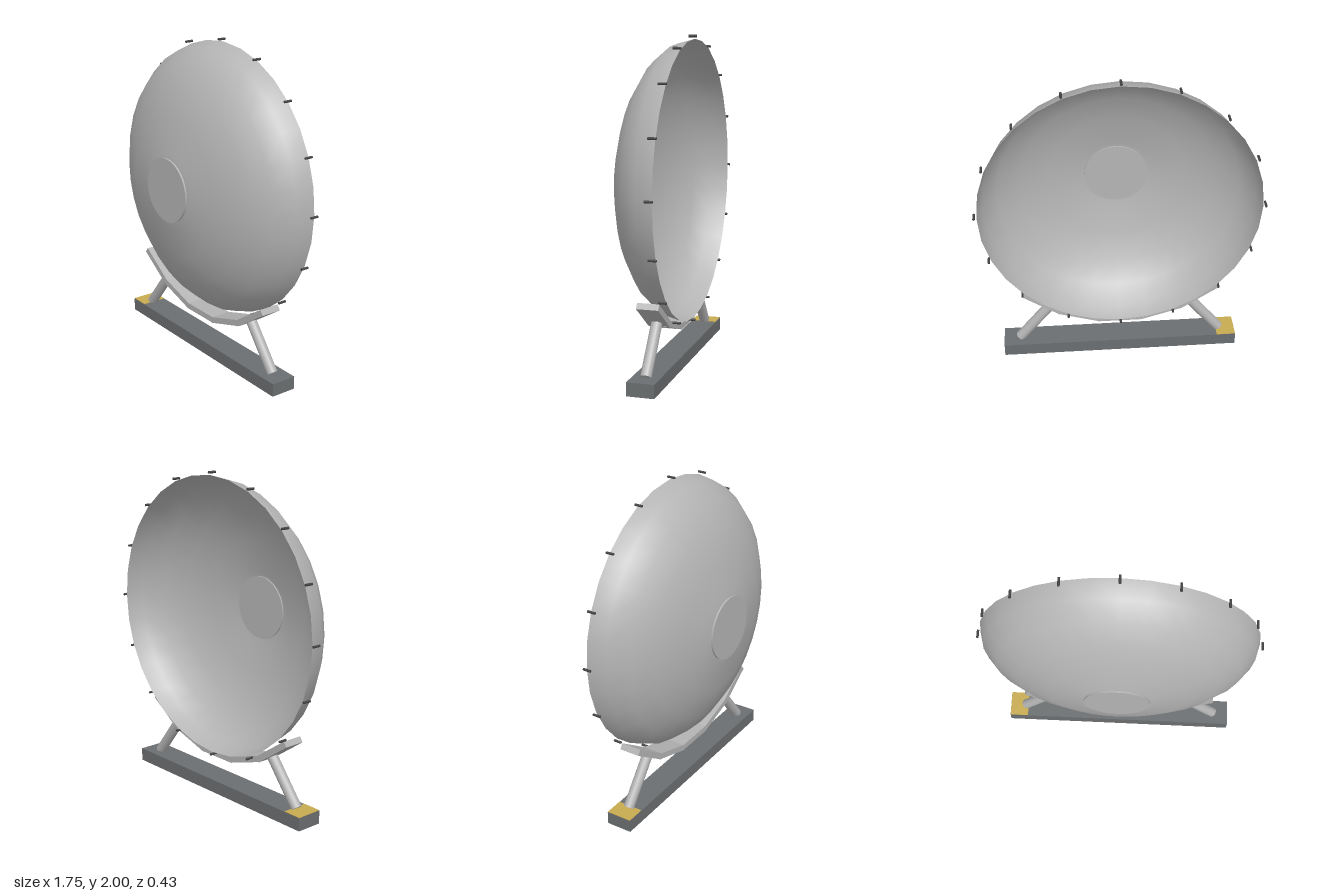
import * as THREE from 'three';

const CY = 1.128;      // height of the dish axis
const RIM_Z = -0.205;  // plane of the dish rim
const SUPPORT_Z = -0.103;

export function createModel() {
  const model = new THREE.Group();
  const paint = (name, color, side = THREE.FrontSide) => {
    const m = new THREE.MeshStandardMaterial({ color, side });
    m.name = name;
    return m;
  };
  const shell = paint('light grey shell', 0xb4b4b4, THREE.DoubleSide);
  const metal = paint('light grey metal', 0xb4b4b4);
  const baseGrey = paint('base grey', 0x6b6e70);
  const dark = paint('dark grey', 0x444444);
  const yellow = paint('label yellow', 0xc8ab52);

  const add = (name, geometry, material, x, y, z, parent = model) => {
    const mesh = new THREE.Mesh(geometry, material);
    mesh.name = name;
    mesh.position.set(x, y, z);
    parent.add(mesh);
    return mesh;
  };

  // Dish: an open half ellipsoid with its bulge facing forward
  const profile = [90, 75, 60, 45, 30, 15, 13.4].map((deg) => {
    const a = THREE.MathUtils.degToRad(deg);
    return new THREE.Vector2(0.85 * Math.sin(a), 0.4215 * Math.cos(a));
  });
  const dishGeometry = new THREE.LatheGeometry(profile, 32).rotateX(Math.PI / 2);
  add('dish', dishGeometry, shell, 0, CY, RIM_Z);

  // Flat disc closing the middle of the dish
  const hub = new THREE.CylinderGeometry(0.198, 0.198, 0.02, 32).rotateX(Math.PI / 2);
  add('centreDisc', hub, metal, 0, CY, 0.2065);

  // Pins around the rim
  const pins = new THREE.Group();
  pins.name = 'rimPins';
  model.add(pins);
  const pinGeometry = new THREE.CylinderGeometry(0.0075, 0.0075, 0.05, 8).rotateX(Math.PI / 2);
  for (let i = 0; i < 16; i++) {
    const a = (i / 16) * Math.PI * 2;
    add('rimPin', pinGeometry, dark, 0.866 * Math.sin(a), CY + 0.866 * Math.cos(a), -0.191, pins);
  }

  // Cradle pads following the underside of the rim
  const cradle = new THREE.Group();
  cradle.name = 'cradle';
  model.add(cradle);
  const padGeometry = new THREE.BoxGeometry(0.283, 0.038, 0.132);
  for (let i = -2; i <= 2; i++) {
    const a = i * 0.3;
    const pad = add('cradlePad', padGeometry, metal,
      0.873 * Math.sin(a), CY - 0.873 * Math.cos(a), SUPPORT_Z, cradle);
    pad.rotation.z = a;
  }

  // Leaning struts
  for (const side of [-1, 1]) {
    const foot = new THREE.Vector3(side * 0.645, 0.085, SUPPORT_Z);
    const head = new THREE.Vector3(side * 0.43, 0.357, SUPPORT_Z);
    const axis = head.clone().sub(foot);
    const mid = head.clone().add(foot).multiplyScalar(0.5);
    const strut = add(side > 0 ? 'leftStrut' : 'rightStrut',
      new THREE.CylinderGeometry(0.033, 0.033, axis.length(), 16), metal, mid.x, mid.y, mid.z);
    strut.quaternion.setFromUnitVectors(new THREE.Vector3(0, 1, 0), axis.normalize());
  }

  // Base beam with a yellow plate on its right end
  add('base', new THREE.BoxGeometry(1.5, 0.082, 0.165), baseGrey, 0, 0.041, SUPPORT_Z);
  add('endPlate', new THREE.BoxGeometry(0.12, 0.004, 0.163), yellow, -0.689, 0.083, SUPPORT_Z);

  return model;
}
